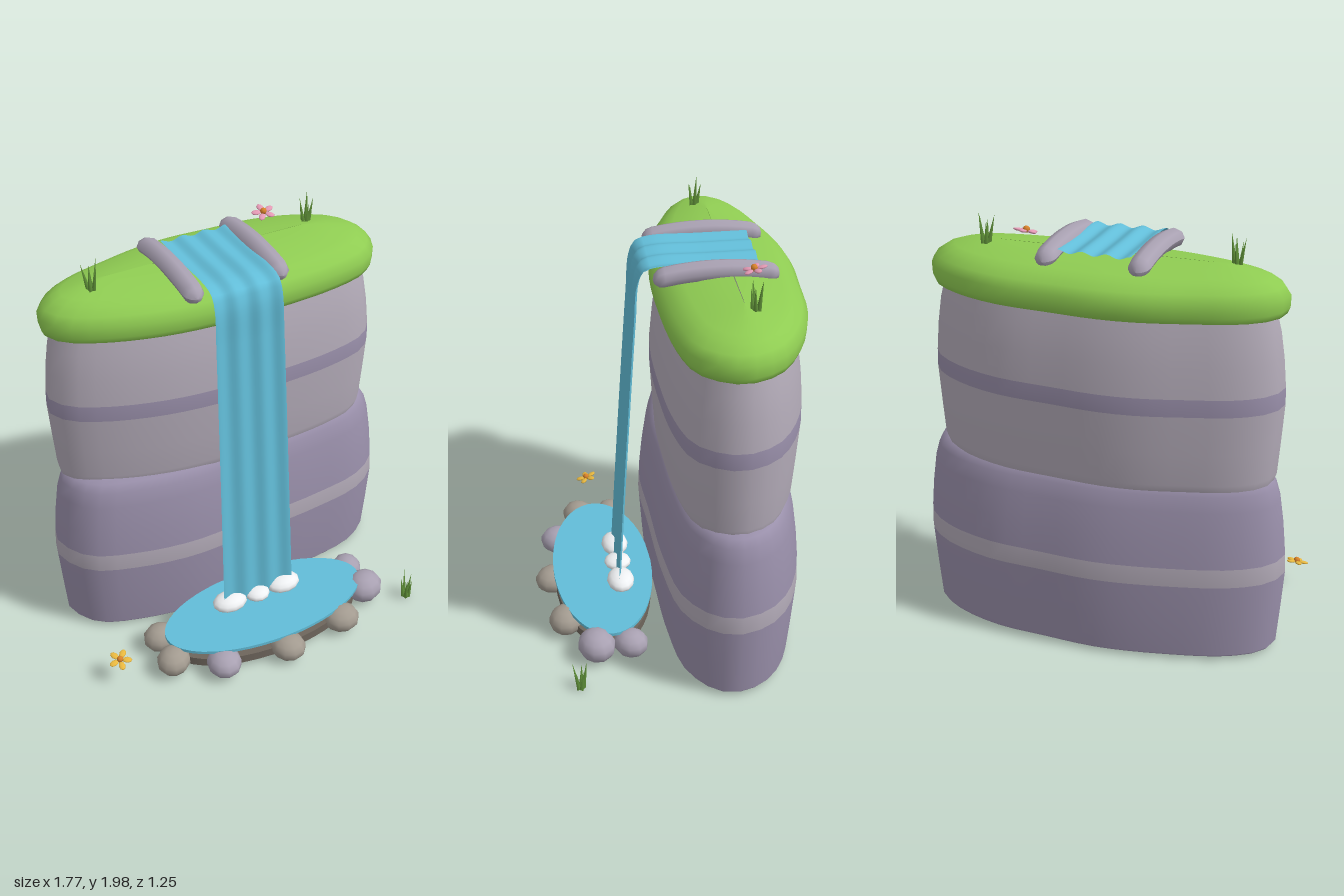
import * as THREE from 'three';
import { ParametricGeometry } from 'three/addons/geometries/ParametricGeometry.js';

const mat = (color, side = THREE.FrontSide) => new THREE.MeshStandardMaterial({ color, side });
const lilac = mat(0x9a90ab, THREE.DoubleSide);
const pale = mat(0xb3abb8, THREE.DoubleSide);
const turf = mat(0x8fcc52, THREE.DoubleSide);
const water = mat(0x62bdd8, THREE.DoubleSide);
const stoneLilac = mat(0xa9a1b2);
const stoneBrown = mat(0xa39b90);
const foamWhite = mat(0xeef0f2);
const earth = mat(0x6e655c);
const leaf = mat(0x5f9038);
const SEG = 48;

function add(parent, name, geometry, material, x = 0, y = 0, z = 0) {
  const mesh = new THREE.Mesh(geometry, material);
  mesh.name = name;
  mesh.position.set(x, y, z);
  parent.add(mesh);
  return mesh;
}

// Plan outlines, as [x, z] from the left end round the front
const lowerPlan = [[-0.885, -0.26], [-0.8, -0.08], [-0.6, 0.01], [-0.3, 0.067], [0, 0.055], [0.4, 0.035],
  [0.7, -0.02], [0.85, -0.14], [0.885, -0.26], [0.83, -0.41], [0.7, -0.52], [0.45, -0.605],
  [0.2, -0.62], [-0.1, -0.625], [-0.45, -0.56], [-0.7, -0.48], [-0.84, -0.38]];
const upperPlan = [[-0.85, -0.27], [-0.8, -0.18], [-0.65, -0.09], [-0.4, -0.01], [-0.15, 0.025], [0.15, 0.027],
  [0.5, 0], [0.7, -0.06], [0.79, -0.17], [0.81, -0.27], [0.75, -0.41], [0.6, -0.52], [0.38, -0.595],
  [0.1, -0.618], [-0.1, -0.628], [-0.28, -0.61], [-0.5, -0.55], [-0.7, -0.48], [-0.82, -0.38]];

// Stack inset copies of a plan at rings of [y, inset]
function loft(plan, rings) {
  const curve = new THREE.CatmullRomCurve3(plan.map(([x, z]) => new THREE.Vector3(x, 0, z)), true);
  const pts = curve.getSpacedPoints(SEG).slice(0, SEG);
  const box = new THREE.Box3().setFromPoints(pts);
  const c = box.getCenter(new THREE.Vector3());
  const half = box.getSize(new THREE.Vector3()).multiplyScalar(0.5);
  const pos = [], index = [];
  rings.forEach(([y, d], r) => pts.forEach((p, i) => {
    pos.push(c.x + (p.x - c.x) * (1 - d / half.x), y, c.z + (p.z - c.z) * (1 - d / half.z));
    if (r === rings.length - 1) return;
    const a = r * SEG + i, b = r * SEG + (i + 1) % SEG;
    index.push(a, b, b + SEG, a, b + SEG, a + SEG);
  }));
  const g = new THREE.BufferGeometry();
  g.setAttribute('position', new THREE.Float32BufferAttribute(pos, 3));
  g.setIndex(index);
  g.computeVertexNormals();
  return g;
}

// A rock tier whose band of rings [from, to] has another colour
function tier(parent, name, plan, rings, from, to, body, band) {
  const g = loft(plan, rings);
  const all = Array.from(g.index.array);
  const part = (label, a, b, m) => {
    const slice = g.clone();
    slice.setIndex(all.slice(a * SEG * 6, b * SEG * 6));
    add(parent, name + label, slice, m);
  };
  part('Base', 0, from, body);
  part('Band', from, to, band);
  part('Top', to, rings.length - 1, body);
}

// Five leaning grass blades
function tuft(parent, x, y, z, turn) {
  const g = new THREE.Group();
  g.name = 'grassTuft';
  g.position.set(x, y, z);
  g.rotation.y = turn;
  for (let i = 0; i < 5; i++) {
    const h = [0.155, 0.12, 0.14, 0.11, 0.13][i];
    const blade = add(g, 'blade', new THREE.ConeGeometry(0.012, h, 4).translate(0, h / 2, 0), leaf);
    blade.rotation.set(0, i * Math.PI * 0.4, -0.12 - 0.05 * (i % 3), 'YXZ');
    blade.position.set(Math.cos(i * 1.2566) * 0.012, 0, -Math.sin(i * 1.2566) * 0.012);
  }
  parent.add(g);
}

// Five flat petals round a bead
function flower(parent, x, y, z, color, turn) {
  const g = new THREE.Group();
  g.name = 'flower';
  g.position.set(x, y, z);
  g.rotation.set(0.2, turn, 0.1);
  const petal = mat(color);
  for (let i = 0; i < 5; i++) {
    const a = i * Math.PI * 0.4;
    const p = add(g, 'petal', new THREE.SphereGeometry(1, 8, 6), petal,
      Math.cos(a) * 0.034, 0, -Math.sin(a) * 0.034);
    p.scale.set(0.024, 0.007, 0.016);
    p.rotation.y = a;
  }
  add(g, 'flowerCentre', new THREE.SphereGeometry(0.016, 8, 6), mat(0xd9822b), 0, 0.006, 0);
  parent.add(g);
}

export function createModel() {
  const model = new THREE.Group();
  model.name = 'waterfall';

  // Cliff tiers and turf cap
  tier(model, 'lowerCliff', lowerPlan, [[0.02, 0.035], [0.03, 0.028], [0.2, 0.014], [0.4, 0], [0.49, 0.004],
    [0.62, 0.016], [0.76, 0.036], [0.83, 0.056], [0.87, 0.08], [0.885, 0.12], [0.89, 0.3]], 3, 4, lilac, pale);
  tier(model, 'upperCliff', upperPlan, [[0.865, 0.035], [0.9, 0.023], [1.05, 0.012], [1.235, 0], [1.315, 0.002],
    [1.45, 0.014], [1.57, 0.032], [1.66, 0.055]], 3, 4, pale, lilac);
  add(model, 'turfCap', loft(upperPlan, [[1.655, 0.2], [1.65, 0.03], [1.652, 0.012], [1.68, 0], [1.735, -0.002],
    [1.775, 0.025], [1.805, 0.07], [1.82, 0.11], [1.838, 0.19], [1.848, 0.26], [1.852, 0.327]]), turf);

  // Rippled sheet running over the top and falling to the pond
  const path = new THREE.CatmullRomCurve3([[-0.43, 1.868], [-0.2, 1.868], [0.02, 1.868], [0.08, 1.85],
    [0.107, 1.79], [0.122, 1.6], [0.165, 0.95], [0.215, 0.13]].map(([z, y]) => new THREE.Vector3(0, y, z)));
  const sheet = new ParametricGeometry((u, v, out) => {
    const p = path.getPointAt(v), t = path.getTangentAt(v);
    const fall = Math.max(0, (1.87 - p.y) / 1.74);
    const ripple = 0.008 * Math.cos(u * Math.PI * 6);
    out.set(-0.026 + (0.5 - u) * (0.335 + 0.05 * fall), p.y + t.z * ripple, p.z - t.y * ripple);
  }, 30, 70);
  add(model, 'fallingWater', sheet, water);

  // Bent bank stones beside the stream
  for (const x of [-0.243, 0.18]) {
    const g = new THREE.CapsuleGeometry(0.05, 0.46, 3, 8, 8).rotateX(Math.PI / 2);
    const p = g.attributes.position;
    for (let i = 0; i < p.count; i++) p.setY(i, p.getY(i) * 0.9 - 0.4 * p.getZ(i) ** 2);
    g.computeVertexNormals();
    add(model, 'bankStone', g, stoneLilac, x, 1.868, -0.23);
  }

  // Pond
  add(model, 'pondBed', new THREE.CylinderGeometry(1, 1, 0.045, 40), earth, -0.03, 0.053, 0.287).scale.set(0.51, 1, 0.24);
  add(model, 'pondWater', new THREE.CylinderGeometry(1, 1, 0.016, 48), water, -0.03, 0.132, 0.287).scale.set(0.535, 1, 0.248);

  // Rim stones: x, z, radius, height, material
  [[-0.56, 0.195, 0.085, 0.068, stoneBrown], [-0.57, 0.365, 0.088, 0.068, stoneBrown],
    [-0.36, 0.49, 0.092, 0.066, stoneLilac], [-0.035, 0.54, 0.09, 0.064, stoneBrown],
    [0.295, 0.495, 0.092, 0.068, stoneBrown], [0.51, 0.365, 0.098, 0.077, stoneLilac],
    [0.505, 0.2, 0.085, 0.068, stoneLilac]].forEach(([x, z, r, h, m], i) => {
    const s = add(model, 'rimStone', new THREE.SphereGeometry(1, 10, 7), m, x, h + 0.007, z);
    s.scale.set(r, h, r * 0.92);
    s.rotation.y = i * 0.7;
  });

  // Foam where the water lands
  for (const [x, r, h] of [[-0.18, 0.09, 0.042], [-0.03, 0.066, 0.032], [0.12, 0.09, 0.042]])
    add(model, 'foam', new THREE.SphereGeometry(1, 12, 8), foamWhite, x, 0.154, 0.208).scale.set(r, h, 0.068);

  // Plants
  tuft(model, -0.61, 1.825, -0.25, 0.2);
  tuft(model, 0.52, 1.832, -0.34, 0.9);
  tuft(model, 0.71, 0.005, 0.46, 1.6);
  flower(model, 0.31, 1.925, -0.37, 0xe59ab5, 0.3);
  flower(model, -0.82, 0.14, 0.3, 0xe8b840, 0.8);
  return model;
}
